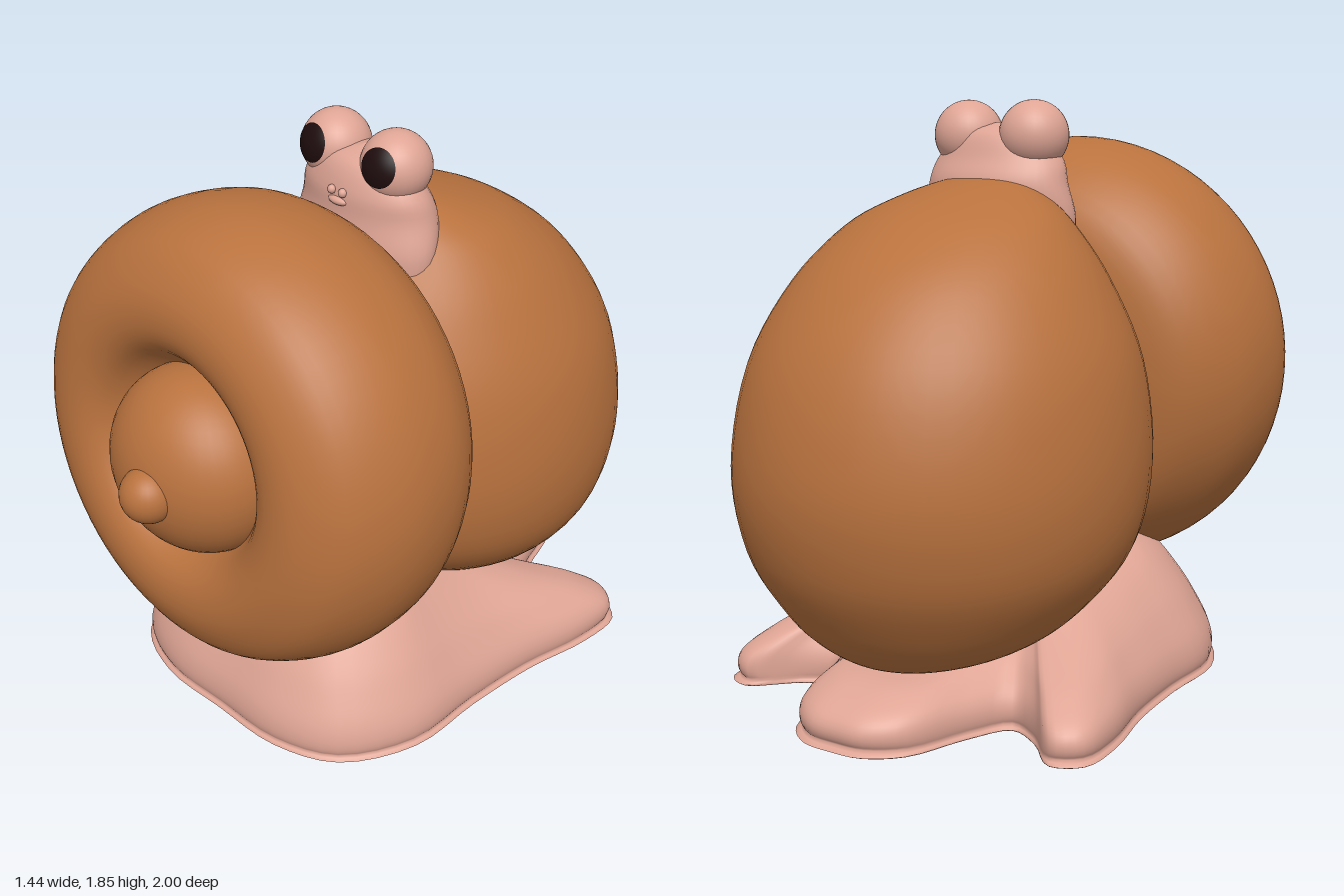
import * as THREE from 'three';

const mat = (name, color, extra = {}) =>
  Object.assign(new THREE.MeshStandardMaterial({ color, ...extra }), { name });

// Evenly resample a list of 3-value stations into a smooth sequence.
const smooth = (stations, n) =>
  new THREE.CatmullRomCurve3(stations.map((s) => new THREE.Vector3(...s)), false, 'catmullrom', 0.5).getPoints(n);

// Skin rows of closed rings, listed bottom to top, each running from +z towards +x.
function skin(rows) {
  const n = rows[0].length, idx = [];
  for (let i = 0; i < rows.length - 1; i++) {
    for (let j = 0; j < n; j++) {
      const k = (j + 1) % n, a = i * n + j, b = i * n + k;
      idx.push(a, b, b + n, a, b + n, a + n);
    }
  }
  const g = new THREE.BufferGeometry();
  g.setAttribute('position', new THREE.Float32BufferAttribute(rows.flat(2), 3));
  g.setIndex(idx);
  g.computeVertexNormals();
  return g;
}

// Elliptical loft from stations of [y, back z, front z, half width].
function ellipseLoft(stations, steps, seg = 56) {
  const a = smooth(stations.map((s) => [s[0], s[1], s[2]]), steps);
  const w = smooth(stations.map((s) => [s[3], 0, 0]), steps);
  return skin(a.map((p, i) => Array.from({ length: seg }, (_, j) => {
    const t = (j / seg) * Math.PI * 2;
    return [w[i].x * Math.sin(t), p.x, (p.y + p.z) / 2 + ((p.z - p.y) / 2) * Math.cos(t)];
  })));
}

export function createModel() {
  const model = new THREE.Group();
  const shell = mat('shell brown', 0xb9723e);
  const skinPink = mat('skin pink', 0xdfa595);
  const pupil = mat('pupil black', 0x1e0c0d);
  const add = (name, geometry, material, x = 0, y = 0, z = 0) => {
    const m = new THREE.Mesh(geometry, material);
    m.name = name;
    m.position.set(x, y, z);
    model.add(m);
    return m;
  };

  // Egg-shaped rear shell narrowing up to the neck
  add('rearShell', ellipseLoft([
    [0.18, -0.57, -0.57, 0], [0.195, -0.68, -0.38, 0.17], [0.25, -0.77, -0.13, 0.34],
    [0.35, -0.86, 0.08, 0.47], [0.53, -0.96, 0.26, 0.59], [0.78, -1.0, 0.33, 0.63],
    [1.08, -0.935, 0.3, 0.59], [1.32, -0.78, 0.2, 0.48], [1.48, -0.58, 0.09, 0.36],
    [1.56, -0.4, 0.03, 0.25], [1.615, -0.21, -0.04, 0.12], [1.62, -0.12, -0.12, 0],
  ], 55), shell);

  // Round front whorl with a dimpled face, leaning slightly back
  const profile = new THREE.SplineCurve([
    [0, -0.34], [0.25, -0.37], [0.42, -0.37], [0.58, -0.31], [0.69, -0.16], [0.722, 0],
    [0.705, 0.14], [0.64, 0.27], [0.53, 0.345], [0.43, 0.36], [0.35, 0.33], [0.28, 0.25],
    [0.2, 0.2], [0, 0.2],
  ].map((p) => new THREE.Vector2(...p))).getPoints(52);
  profile[0].x = profile[52].x = 0;
  const whorl = add('frontWhorl', new THREE.LatheGeometry(profile, 72).rotateX(Math.PI / 2), shell, 0, 1.02, 0.45);
  whorl.rotation.x = -0.09;

  // Inner whorl and tip
  add('innerWhorl', new THREE.SphereGeometry(0.29, 40, 28), shell, 0.02, 1.035, 0.69).scale.z = 0.86;
  add('shellTip', new THREE.SphereGeometry(0.085, 28, 20), shell, 0.05, 1.03, 0.915);

  // Spreading foot: two side lobes and a central tail
  const half = [
    [0.25, 0.655], [0.45, 0.57], [0.575, 0.35], [0.585, 0.08], [0.61, -0.18], [0.66, -0.42],
    [0.655, -0.58], [0.57, -0.63], [0.45, -0.52], [0.34, -0.47], [0.27, -0.6], [0.2, -0.8], [0.1, -0.88],
  ];
  const loop = [[0, 0.66], ...half, [0, -0.89], ...half.map(([x, z]) => [-x, z]).reverse()];
  const outline = new THREE.CatmullRomCurve3(loop.map(([x, z]) => new THREE.Vector3(x, 0, z)), true)
    .getPoints(112).slice(0, -1);
  const cz = 0.15;
  // Layers hold outline scale, height, and extra rise towards the front
  const layers = smooth([
    [0, 0.01, 0], [0.93, 0.01, 0], [0.985, 0.03, 0], [1, 0.07, 0], [0.98, 0.11, 0.02],
    [0.92, 0.145, 0.06], [0.82, 0.175, 0.13], [0.65, 0.18, 0.25], [0.4, 0.18, 0.35], [0, 0.18, 0.4],
  ], 36);
  add('foot', skin(layers.map((l) => outline.map((p) => {
    const z = cz + (p.z - cz) * l.x;
    const lift = THREE.MathUtils.clamp((z + 0.6) / 0.8, 0, 1);
    return [p.x * l.x, Math.max(0.005, l.y + l.z * lift), z];
  }))), skinPink);

  // Neck and head
  add('neck', ellipseLoft([
    [1.38, -0.12, 0.1, 0.25], [1.5, -0.16, 0.11, 0.265], [1.6, -0.185, 0.1, 0.245],
    [1.68, -0.155, 0.095, 0.22], [1.76, -0.12, 0.06, 0.14], [1.79, -0.04, -0.02, 0],
  ], 24, 40), skinPink);

  // Bulging eyes with pupil caps, nostrils
  for (const s of [-1, 1]) {
    const x = s * 0.122 - 0.008, y = 1.75, z = -0.035;
    add('eyeBulge', new THREE.SphereGeometry(0.109, 32, 24), skinPink, x, y, z);
    const cap = new THREE.SphereGeometry(0.112, 32, 8, 0, Math.PI * 2, 0, 0.56);
    const p = add('pupil', cap, pupil, x, y, z);
    p.quaternion.setFromUnitVectors(new THREE.Vector3(0, 1, 0),
      new THREE.Vector3(s * 0.13, 0.24, 0.95).normalize());
    add('nostril', new THREE.SphereGeometry(0.014, 12, 8), skinPink, s * 0.022, 1.675, 0.097);
  }
  add('lip', new THREE.SphereGeometry(0.03, 16, 10), skinPink, 0, 1.645, 0.09).scale.set(1.3, 0.5, 0.7);

  return model;
}
